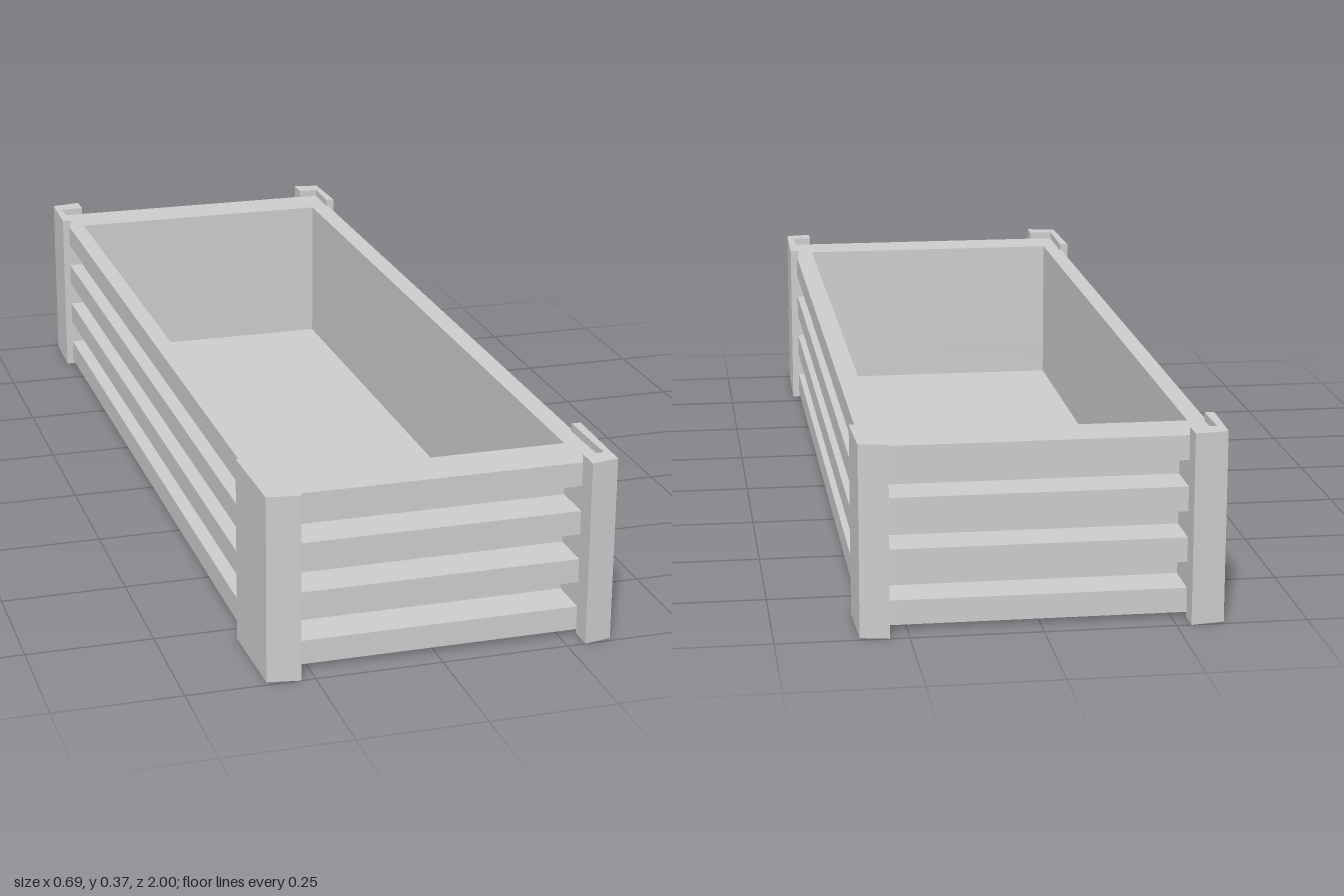
import * as THREE from 'three';

const material = new THREE.MeshStandardMaterial({ color: 0xcccccc, flatShading: true });

// Extrudes a plan outline of [x, z] points upward from y0 to y1, with an optional hole.
function prism(name, outline, y0, y1, hole) {
  const toPoints = (list) => list.map(([x, z]) => new THREE.Vector2(x, -z));
  const shape = new THREE.Shape(toPoints(outline));
  if (hole) shape.holes.push(new THREE.Path(toPoints(hole)));
  const geometry = new THREE.ExtrudeGeometry(shape, { depth: y1 - y0, bevelEnabled: false });
  geometry.rotateX(-Math.PI / 2);
  geometry.translate(0, y0, 0);
  const mesh = new THREE.Mesh(geometry, material);
  mesh.name = name;
  return mesh;
}

// Counter-clockwise plan rectangle, so that hole walls face inward
const rect = (x0, x1, z) => [[x0, z], [x1, z], [x1, -z], [x0, -z]];

export function createModel() {
  const group = new THREE.Group();
  group.name = 'planterBox';

  const opening = rect(-0.295, 0.29, 0.85);
  const outer = rect(-0.331, 0.331, 0.953);
  const recess = rect(-0.301, 0.301, 0.866);
  const base = 0.0095, slatHeight = 0.048, pitch = 0.099;

  // Four slat rings with recessed wall bands between them
  for (let i = 0; i < 4; i++) {
    const y = base + i * pitch;
    group.add(prism('slatRing', outer, y, y + slatHeight, opening));
    if (i < 3) group.add(prism('recessedWall', recess, y + slatHeight, y + pitch, opening));
  }

  // Floor closing the bottom
  group.add(prism('floor', opening, base, 0.032));

  for (const sx of [-1, 1]) {
    for (const sz of [-1, 1]) {
      const tipX = sx < 0 ? 0.278 : 0.287;
      const tipZ = sz < 0 ? 0.853 : 0.793;
      const place = (points) => points.map(([x, z]) => [x * sx, z * sz]);

      // Slightly splayed L-shaped corner post
      group.add(prism('cornerPost', place([
        [tipX, 1.0], [0.342, 0.989], [0.346, tipZ],
        [0.327, tipZ], [0.329, 0.951], [tipX, 0.951],
      ]), 0, 0.37));

      // Corner blocks filling the gaps between slats behind the post
      for (let i = 0; i < 3; i++) {
        const y = base + i * pitch;
        group.add(prism('cornerBlock', place([
          [tipX, 0.952], [0.33, 0.952], [0.33, tipZ],
          [0.3, tipZ], [0.3, 0.865], [tipX, 0.865],
        ]), y + slatHeight, y + pitch));
      }
    }
  }

  return group;
}
